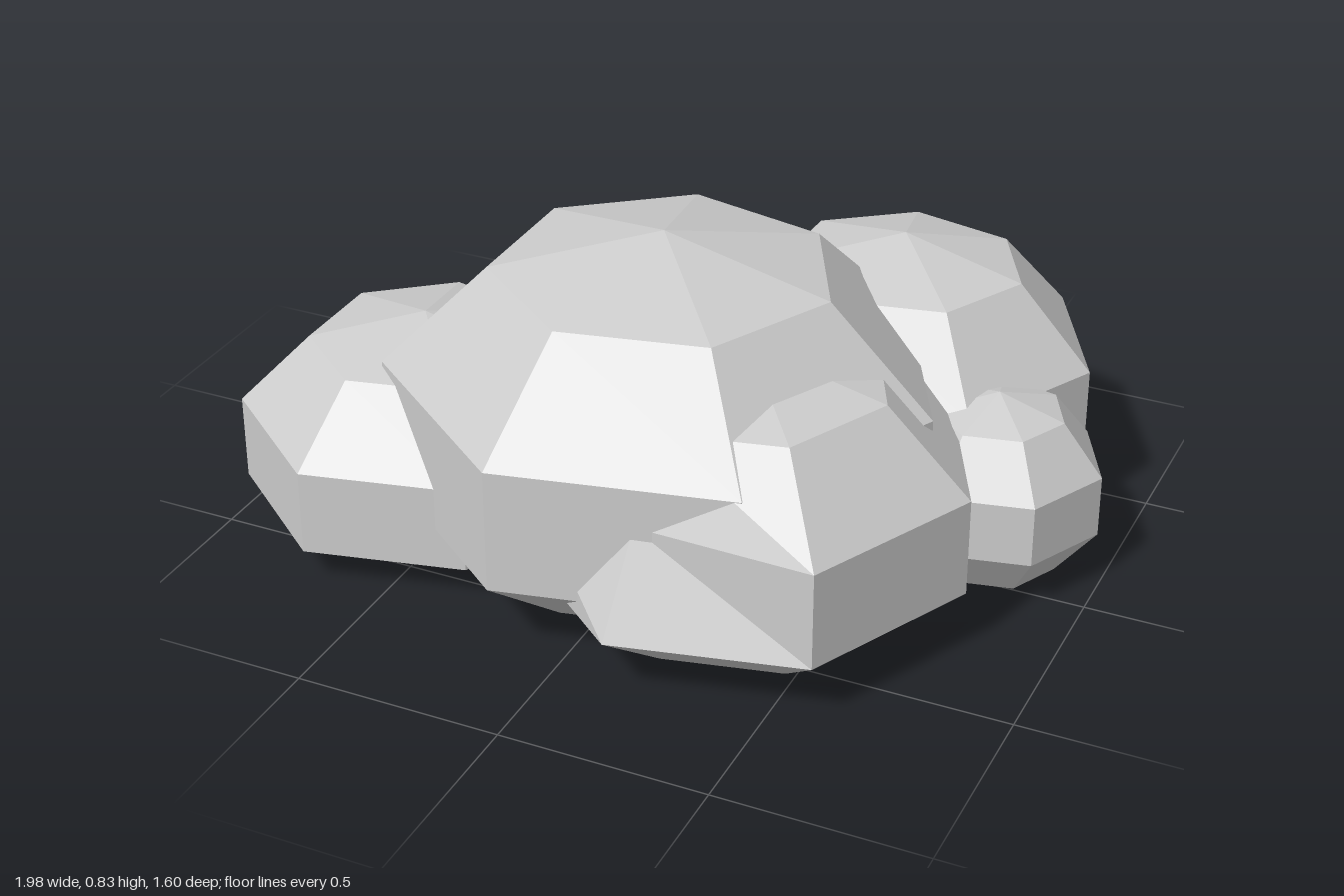
import * as THREE from 'three';

// Each puff: centre x/z, top height, half height, radii of the faceted ball
const puffs = [
  { name: 'mainPuff', x: 0, z: 0.145, top: 0.83, h: 0.49, rx: 0.695, rz: 0.665 },
  { name: 'frontLeftPuff', x: 0.27, z: 0.275, top: 0.66, h: 0.39, rx: 0.56, rz: 0.56, dent: true },
  { name: 'backPuff', x: 0.39, z: -0.38, top: 0.67, h: 0.395, rx: 0.5, rz: 0.46 },
  { name: 'rightPuff', x: -0.59, z: 0.22, top: 0.53, h: 0.34, rx: 0.475, rz: 0.475 },
  { name: 'smallSidePuff', x: 0.73, z: -0.115, top: 0.45, h: 0.245, rx: 0.27, rz: 0.26 },
  { name: 'smallBackPuff', x: -0.27, z: -0.13, top: 0.38, h: 0.23, rx: 0.325, rz: 0.32 },
];

// Seven-sided ball whose underside is pressed flat onto the ground
function puffGeometry({ x, z, top, h, rx, rz, dent }) {
  const geo = new THREE.SphereGeometry(1, 7, 5).rotateY(Math.PI);
  const pos = geo.attributes.position;
  for (let i = 0; i < pos.count; i++) {
    let px = pos.getX(i), py = pos.getY(i), pz = pos.getZ(i);
    // pull in the upper front corner
    if (dent && pz > 0.9 && py > 0.2) { px *= 0.8; pz *= 0.78; }
    pos.setXYZ(i, x + px * rx, Math.max(0, top - h + py * h), z + pz * rz);
  }
  const flat = geo.toNonIndexed();
  flat.computeVertexNormals();
  return flat;
}

export function createModel() {
  const group = new THREE.Group();
  group.name = 'cloud';
  const grey = new THREE.MeshStandardMaterial({ color: 0xcccccc, flatShading: true });
  grey.name = 'pale grey';
  for (const puff of puffs) {
    const mesh = new THREE.Mesh(puffGeometry(puff), grey);
    mesh.name = puff.name;
    group.add(mesh);
  }
  return group;
}
